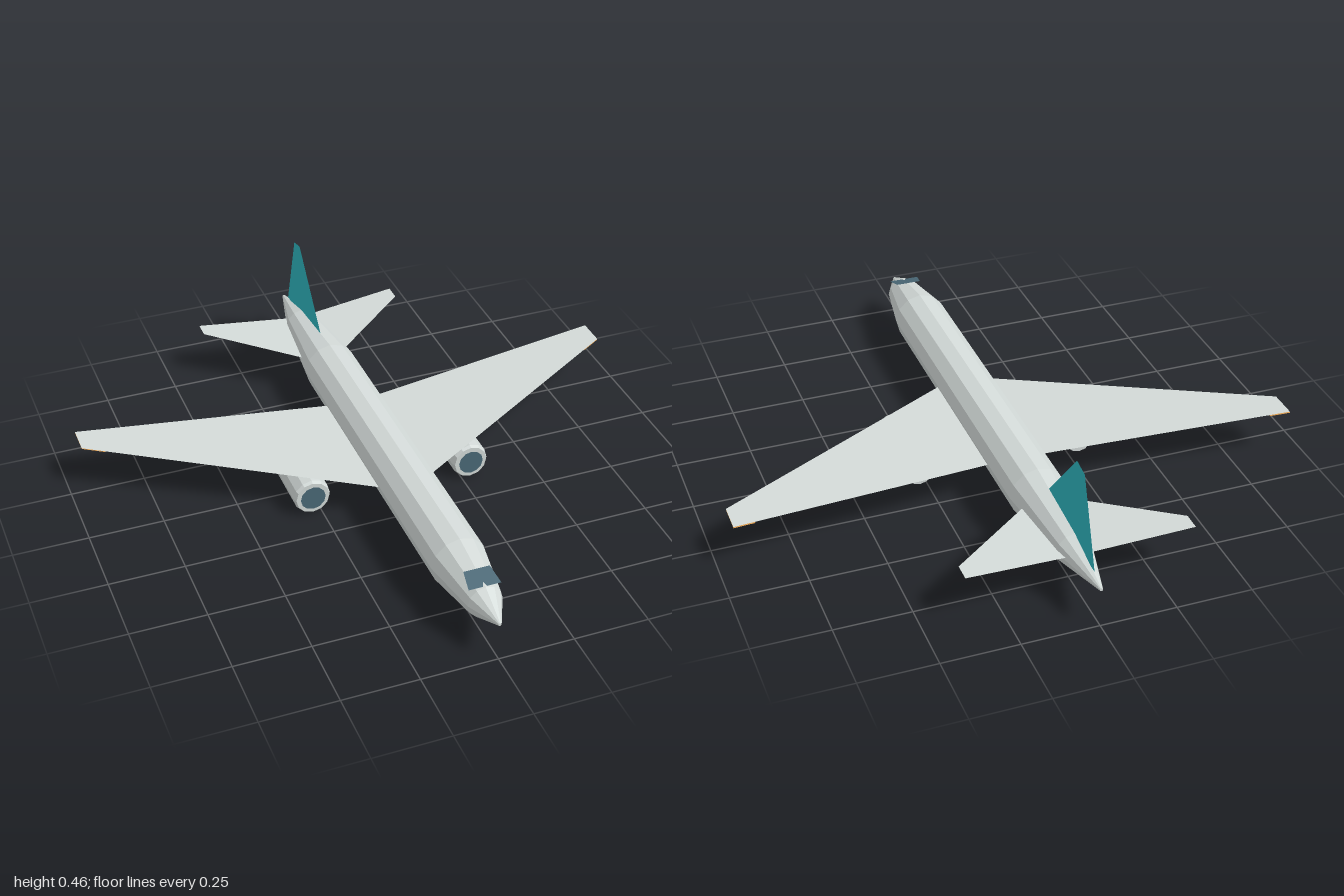
import * as THREE from 'three';

const paint = (name, color) => {
  const m = new THREE.MeshStandardMaterial({ color, flatShading: true, side: THREE.DoubleSide });
  m.name = name;
  return m;
};

// Four-cornered thin panel
function panel(name, corners, material) {
  const g = new THREE.BufferGeometry();
  g.setAttribute('position', new THREE.Float32BufferAttribute(corners.flat(), 3));
  g.setIndex([0, 1, 2, 0, 2, 3]);
  g.computeVertexNormals();
  const mesh = new THREE.Mesh(g, material);
  mesh.name = name;
  return mesh;
}

// Twelve-sided body along z from [z, radius] pairs, listed back to front
function tube(name, profile, material) {
  const points = profile.map(([z, r]) => new THREE.Vector2(r, z));
  const g = new THREE.LatheGeometry(points, 12).rotateX(Math.PI / 2);
  const mesh = new THREE.Mesh(g, material);
  mesh.name = name;
  return mesh;
}

export function createModel() {
  const grey = paint('hull grey', 0xd3dad8);
  const teal = paint('fin teal', 0x2fb9c2);
  const slate = paint('glass slate', 0x4a6876);
  const amber = paint('wingtip amber', 0xd99a4e);

  const model = new THREE.Group();
  model.name = 'airliner';

  // Fuselage with tapered nose and tail
  const fuselage = tube('fuselage', [
    [-1, 0], [-1, 0.005], [-0.79, 0.058], [-0.48, 0.091],
    [0.69, 0.091], [0.89, 0.057], [1, 0.005], [1, 0],
  ], grey);
  fuselage.position.y = 0.134;
  model.add(fuselage);

  // Cockpit window and tail fin
  model.add(panel('cockpitWindow', [
    [-0.053, 0.19, 0.885], [0.053, 0.19, 0.885], [0.043, 0.208, 0.82], [-0.043, 0.208, 0.82],
  ], slate));
  model.add(panel('tailFin', [
    [0, 0.16, -0.532], [0, 0.16, -0.945], [0, 0.444, -0.85], [0, 0.455, -0.79],
  ], teal));

  for (const side of [1, -1]) {
    const label = side > 0 ? 'left' : 'right';
    // Mirrored corners are reversed so the panel keeps facing up
    const mirror = (pts) => {
      const out = pts.map(([x, y, z]) => [x * side, y, z]);
      return side > 0 ? out : out.reverse();
    };

    // Main wing, tailplane and the marker under the wingtip
    model.add(panel(label + 'Wing', mirror([
      [0, 0.119, 0.283], [0.945, 0.161, -0.27], [0.945, 0.161, -0.37], [0, 0.119, -0.258],
    ]), grey));
    model.add(panel(label + 'Tailplane', mirror([
      [0, 0.138, -0.492], [0.37, 0.168, -0.795], [0.37, 0.168, -0.855], [0, 0.138, -0.828],
    ]), grey));
    model.add(panel(label + 'WingtipMarker', mirror([
      [0.875, 0.155, -0.229], [0.945, 0.158, -0.27], [0.945, 0.158, -0.372], [0.875, 0.155, -0.364],
    ]).reverse(), amber));

    // Engine nacelle with intake disc
    const engine = new THREE.Group();
    engine.name = label + 'Engine';
    engine.position.set(0.28 * side, 0.062, 0);
    engine.add(tube('nacelle', [
      [-0.155, 0], [-0.155, 0.043], [-0.1, 0.062], [0.122, 0.062], [0.133, 0.057], [0.133, 0],
    ], grey));
    const intake = new THREE.Mesh(new THREE.CircleGeometry(0.043, 12), slate);
    intake.name = 'intake';
    intake.position.z = 0.136;
    engine.add(intake);
    model.add(engine);
  }
  return model;
}
